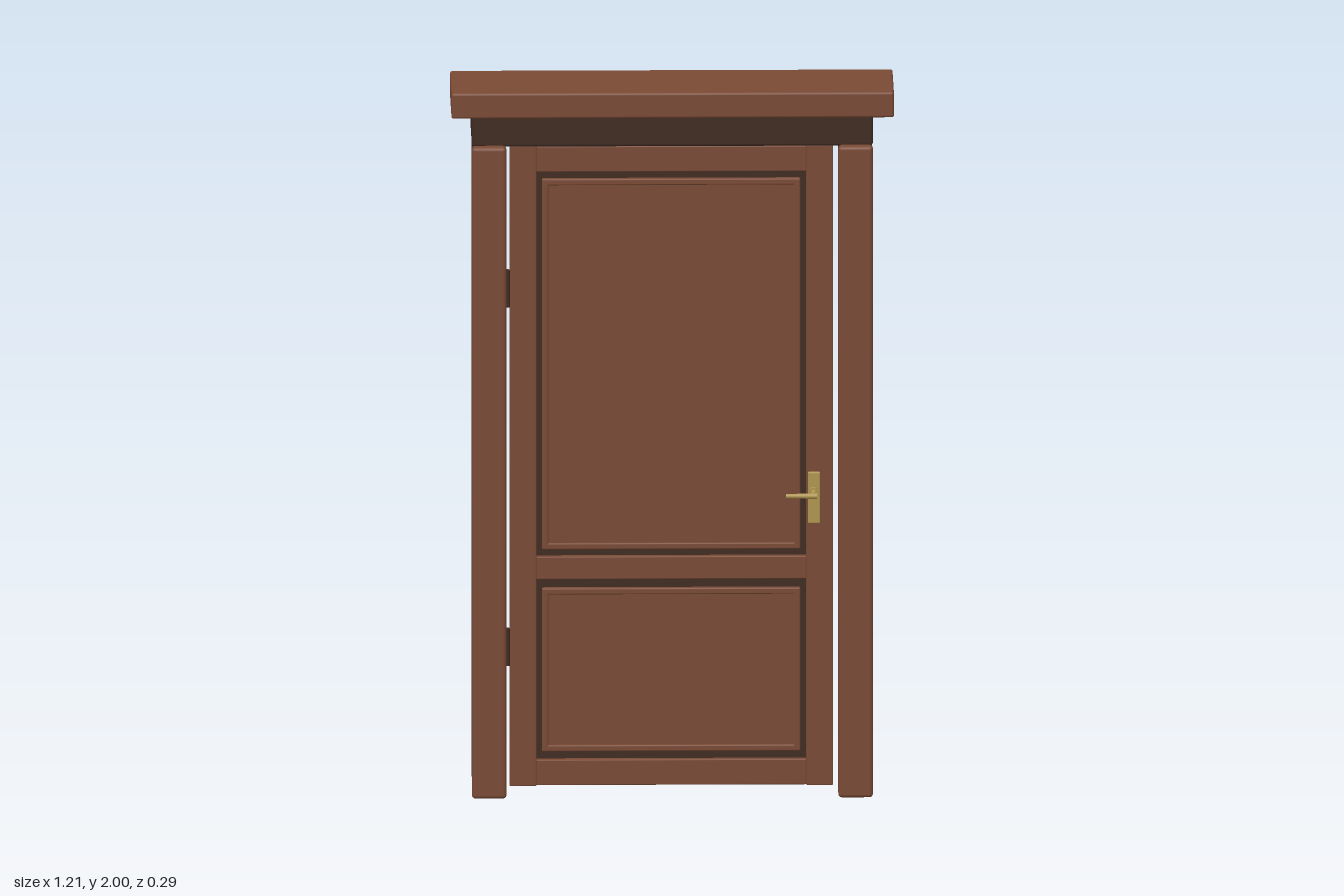
import * as THREE from 'three';
import { RoundedBoxGeometry } from 'three/addons/geometries/RoundedBoxGeometry.js';

export function createModel() {
  const model = new THREE.Group();
  model.name = 'panelDoorWithFrame';

  const mat = (name, color) => {
    const m = new THREE.MeshStandardMaterial({ color });
    m.name = name;
    return m;
  };
  const wood = mat('warmBrownWood', 0x7a4a35);
  const dark = mat('darkBrownWood', 0x402b22);
  const brass = mat('brass', 0xb0964f);

  // Softly bevelled block given by its limits on each axis
  function block(parent, name, material, [x0, x1], [y0, y1], [z0, z1], bevel = 0.003) {
    const geo = new RoundedBoxGeometry(x1 - x0, y1 - y0, z1 - z0, 2, bevel);
    const mesh = new THREE.Mesh(geo, material);
    mesh.position.set((x0 + x1) / 2, (y0 + y1) / 2, (z0 + z1) / 2);
    mesh.name = name;
    parent.add(mesh);
    return mesh;
  }

  function rod(parent, name, material, r0, r1, length, position, axis) {
    const mesh = new THREE.Mesh(new THREE.CylinderGeometry(r0, r1, length, 16), material);
    mesh.position.set(...position);
    if (axis === 'x') mesh.rotation.z = Math.PI / 2;
    if (axis === 'z') mesh.rotation.x = Math.PI / 2;
    mesh.name = name;
    parent.add(mesh);
  }

  // Surround: jambs, front casings, lintel and cornice
  const frame = new THREE.Group();
  frame.name = 'doorFrame';
  model.add(frame);
  for (const [side, s] of [['left', 1], ['right', -1]]) {
    const span = (a, b) => (s > 0 ? [a, b] : [-b, -a]);
    block(frame, side + 'Jamb', dark, span(0.457, 0.548), [0.018, 1.835], [-0.133, 0.062], 0.005);
    block(frame, side + 'Casing', wood, span(0.455, 0.55), [0, 1.835], [0.056, 0.094], 0.01);
  }
  block(frame, 'lintel', dark, [-0.55, 0.55], [1.83, 1.93], [-0.143, 0.064], 0.008);
  block(frame, 'cornice', wood, [-0.607, 0.607], [1.928, 2], [-0.137, 0.143], 0.007);

  // Door leaf: dark core with stiles and rails on its front
  const door = new THREE.Group();
  door.name = 'doorLeaf';
  model.add(door);
  const front = 0.015;
  const face = [-0.02, front];
  block(door, 'doorCore', dark, [-0.443, 0.441], [0.02, 1.82], [-0.1, -0.004]);
  block(door, 'rightStile', wood, [-0.446, -0.372], [0.018, 1.822], face);
  block(door, 'leftStile', wood, [0.368, 0.442], [0.018, 1.822], face);
  for (const [name, y0, y1] of [['bottomRail', 0.02, 0.092], ['middleRail', 0.6, 0.664], ['topRail', 1.748, 1.82]])
    block(door, name, wood, [-0.373, 0.369], [y0, y1], [-0.02, front - 0.001]);

  // Panels, each edged by a raised moulding
  const [px0, px1, w] = [-0.357, 0.352, 0.018];
  for (const [name, y0, y1] of [['lowerPanel', 0.114, 0.574], ['upperPanel', 0.683, 1.727]]) {
    const panel = new THREE.Group();
    panel.name = name;
    door.add(panel);
    block(panel, 'panelField', wood, [px0 + 0.005, px1 - 0.005], [y0 + 0.005, y1 - 0.005], [-0.015, 0.004]);
    for (const x of [px0, px1 - w])
      block(panel, 'sideMoulding', wood, [x, x + w], [y0, y1], [-0.015, 0.011], 0.004);
    for (const y of [y0, y1 - w])
      block(panel, 'crossMoulding', wood, [px0 + 0.004, px1 - 0.004], [y, y + w], [-0.015, 0.0105], 0.004);
  }

  // Hinges in the gap beside the leaf
  for (const y of [0.41, 1.42])
    rod(door, 'hinge', dark, 0.008, 0.008, 0.105, [-0.452, y, 0.012], 'y');

  // Lever handle on its backplate
  const handle = new THREE.Group();
  handle.name = 'handle';
  door.add(handle);
  block(handle, 'backplate', brass, [0.373, 0.406], [0.758, 0.902], [front - 0.003, front + 0.01], 0.003);
  rod(handle, 'rosette', brass, 0.013, 0.013, 0.012, [0.388, 0.848, front + 0.014], 'z');
  rod(handle, 'spindle', brass, 0.008, 0.008, 0.06, [0.388, 0.848, front + 0.038], 'z');
  rod(handle, 'lever', brass, 0.006, 0.008, 0.084, [0.354, 0.848, 0.08], 'x');
  return model;
}
